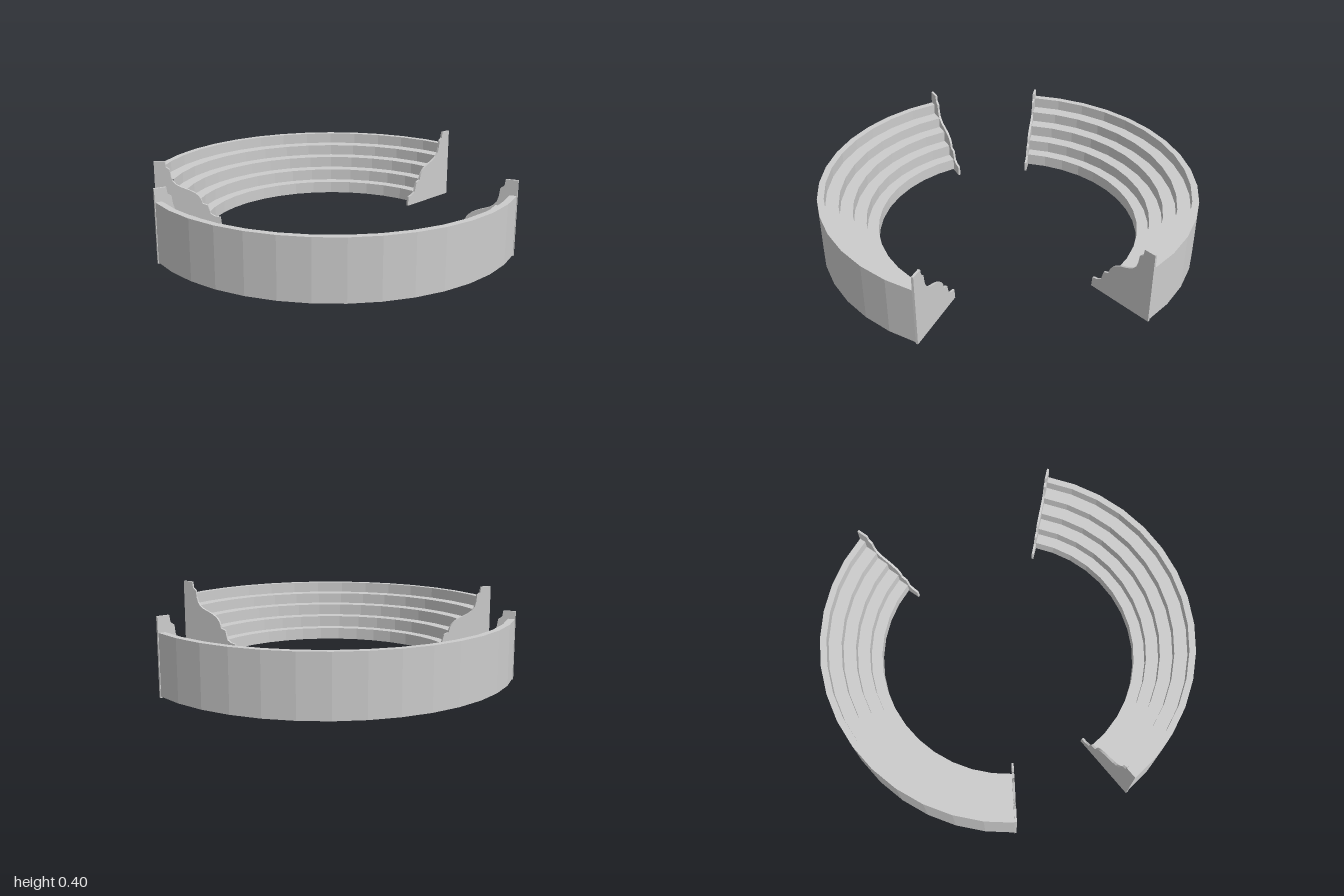
import * as THREE from 'three';

const rad = THREE.MathUtils.degToRad;
const LEFT_END = -71.5, RIGHT_END = 56.2; // arc ends, degrees from the middle of a stand

// Stepped cross-section of the seating as [radius, height], closed
function tierProfile() {
  const radii = [0.965, 0.895, 0.827, 0.76, 0.70];
  const heights = [0.32, 0.26, 0.2, 0.137, 0.073, 0.006];
  const points = [[1, 0.006], [1, 0.32]];
  radii.forEach((r, i) => points.push([r, heights[i]], [r, heights[i + 1]]));
  points.push([1, 0.006]);
  return points.map(([r, y]) => new THREE.Vector2(r, y));
}

// Ornamental end wall: stepped cap, S-shaped slope and a toe
function endWallGeometry(height) {
  const s = new THREE.Shape();
  s.moveTo(0.63, 0);
  s.lineTo(1.003, 0);
  s.lineTo(1.003, 0.4);
  s.lineTo(0.94, 0.4);
  s.lineTo(0.935, 0.365);
  s.lineTo(0.915, 0.35);
  s.lineTo(0.91, 0.31);
  s.bezierCurveTo(0.9, 0.235, 0.83, 0.24, 0.79, 0.215);
  s.bezierCurveTo(0.75, 0.195, 0.74, 0.17, 0.735, 0.14);
  s.lineTo(0.705, 0.13);
  s.lineTo(0.69, 0.075);
  s.lineTo(0.665, 0.06);
  s.lineTo(0.635, 0.055);
  s.closePath();
  const g = new THREE.ExtrudeGeometry(s, { depth: 0.012, bevelEnabled: false, curveSegments: 6 });
  g.translate(0, 0, -0.006);
  g.scale(1, height / 0.4, 1);
  return g;
}

export function createModel() {
  const stone = new THREE.MeshStandardMaterial({ color: 0xcccccc, flatShading: true });
  stone.name = 'grey stone';
  const model = new THREE.Group();
  model.name = 'curvedStands';

  function addStand(name, centreX, start, end, walls) {
    const stand = new THREE.Group();
    stand.name = name;
    stand.position.x = centreX;
    // Stepped seating swept around the arc
    const seating = new THREE.Mesh(
      new THREE.LatheGeometry(tierProfile(), 14, rad(start), rad(end - start)), stone);
    seating.name = 'steppedSeating';
    stand.add(seating);
    // One wall closes each end of the arc
    for (const [label, angle, height] of walls) {
      const wall = new THREE.Mesh(endWallGeometry(height), stone);
      wall.name = label;
      wall.rotation.y = rad(angle - 90);
      stand.add(wall);
    }
    model.add(stand);
  }

  addStand('frontStand', 0.045, LEFT_END, RIGHT_END, [
    ['rightEndWall', LEFT_END, 0.39],
    ['leftEndWall', RIGHT_END, 0.4],
  ]);
  addStand('backStand', 0.055, 180 - RIGHT_END, 180 - LEFT_END, [
    ['leftEndWall', 180 - RIGHT_END, 0.4],
    ['rightEndWall', 180 - LEFT_END, 0.36],
  ]);
  return model;
}
